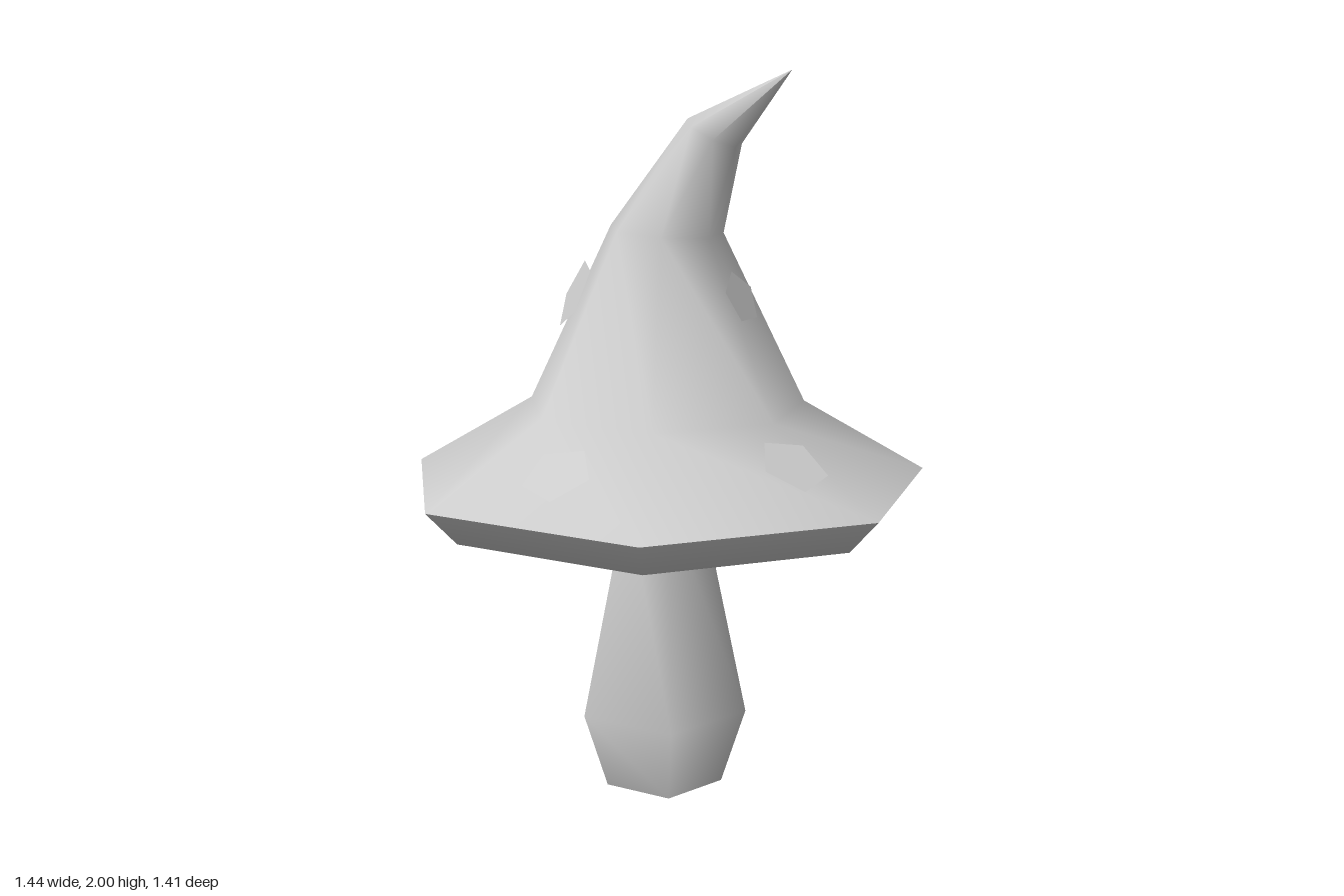
import * as THREE from 'three';

const grey = new THREE.MeshStandardMaterial({ color: 0xcccccc, side: THREE.DoubleSide });
grey.name = 'paleGrey';

const AXIS_Z = 0.031;
const deg = THREE.MathUtils.degToRad;

// Skin through rings listed from bottom to top; each ring has a corner at the back.
// Ring: { y, r, x (centre shift), slope (height change per unit x) }
function loft(rings, sides) {
  const positions = [];
  const index = [];
  for (const { y, r, x = 0, slope = 0 } of rings) {
    for (let i = 0; i < sides; i++) {
      const a = Math.PI + (i / sides) * Math.PI * 2;
      const dx = r * Math.sin(a);
      positions.push(x + dx, y + slope * dx, AXIS_Z + r * Math.cos(a));
    }
  }
  for (let k = 0; k < rings.length - 1; k++) {
    for (let i = 0; i < sides; i++) {
      const j = (i + 1) % sides;
      const a = k * sides + i, b = k * sides + j;
      const c = b + sides, d = a + sides;
      if (rings[k].r > 0) index.push(a, b, d);
      if (rings[k].r > 0 && rings[k + 1].r > 0) index.push(b, c, d);
      if (rings[k].r === 0) index.push(a, c, d);
    }
  }
  const geometry = new THREE.BufferGeometry();
  geometry.setAttribute('position', new THREE.Float32BufferAttribute(positions, 3));
  geometry.setIndex(index);
  geometry.computeVertexNormals();
  return geometry;
}

function addMesh(parent, name, geometry) {
  const mesh = new THREE.Mesh(geometry, grey);
  mesh.name = name;
  parent.add(mesh);
  return mesh;
}

export function createModel() {
  const model = new THREE.Group();
  model.name = 'mushroom';

  // Five-sided stem, bulging near the ground
  const sx = -0.007;
  addMesh(model, 'stem', loft([
    { y: 0, r: 0.171, x: sx },
    { y: 0.215, r: 0.24, x: sx },
    { y: 0.84, r: 0.108, x: sx },
  ], 5));
  addMesh(model, 'stemBase', loft([
    { y: 0, r: 0, x: sx },
    { y: 0, r: 0.171, x: sx },
  ], 5));

  // Seven-sided cap: underside with bevelled rim, then the bent pointed top
  addMesh(model, 'capUnderside', loft([
    { y: 0.79, r: 0 },
    { y: 0.79, r: 0.65 },
    { y: 0.885, r: 0.74 },
  ], 7));
  addMesh(model, 'capTop', loft([
    { y: 0.885, r: 0.74 },
    { y: 1.09, r: 0.393 },
    { y: 1.57, r: 0.158, x: 0.005, slope: -0.07 },
    { y: 1.835, r: 0.074, x: 0.153, slope: -0.5 },
    { y: 2, r: 0, x: 0.38 },
  ], 7));

  // Flat five-sided spots: position, radius, lean from upright, spin
  const spots = [
    [0, 1.0, 0.565, 0.096, 56, 70],
    [0.498, 1.015, 0.232, 0.096, 56, 38],
    [0.229, 1.008, -0.427, 0.1, 56, 71],
    [-0.497, 1.015, -0.173, 0.1, 56, 57],
    [-0.082, 1.462, -0.164, 0.09, 24, 54],
    [-0.18, 1.408, 0.2, 0.1, 24, 46],
    [0.237, 1.402, 0.03, 0.075, 24, 18],
  ];
  const spotGroup = new THREE.Group();
  spotGroup.name = 'spots';
  for (const [x, y, z, r, lean, spin] of spots) {
    const spot = addMesh(spotGroup, 'spot', new THREE.CircleGeometry(r, 5));
    spot.position.set(x, y, z);
    spot.rotation.set(-deg(lean), Math.atan2(x, z - AXIS_Z), deg(spin), 'YXZ');
  }
  model.add(spotGroup);

  return model;
}
